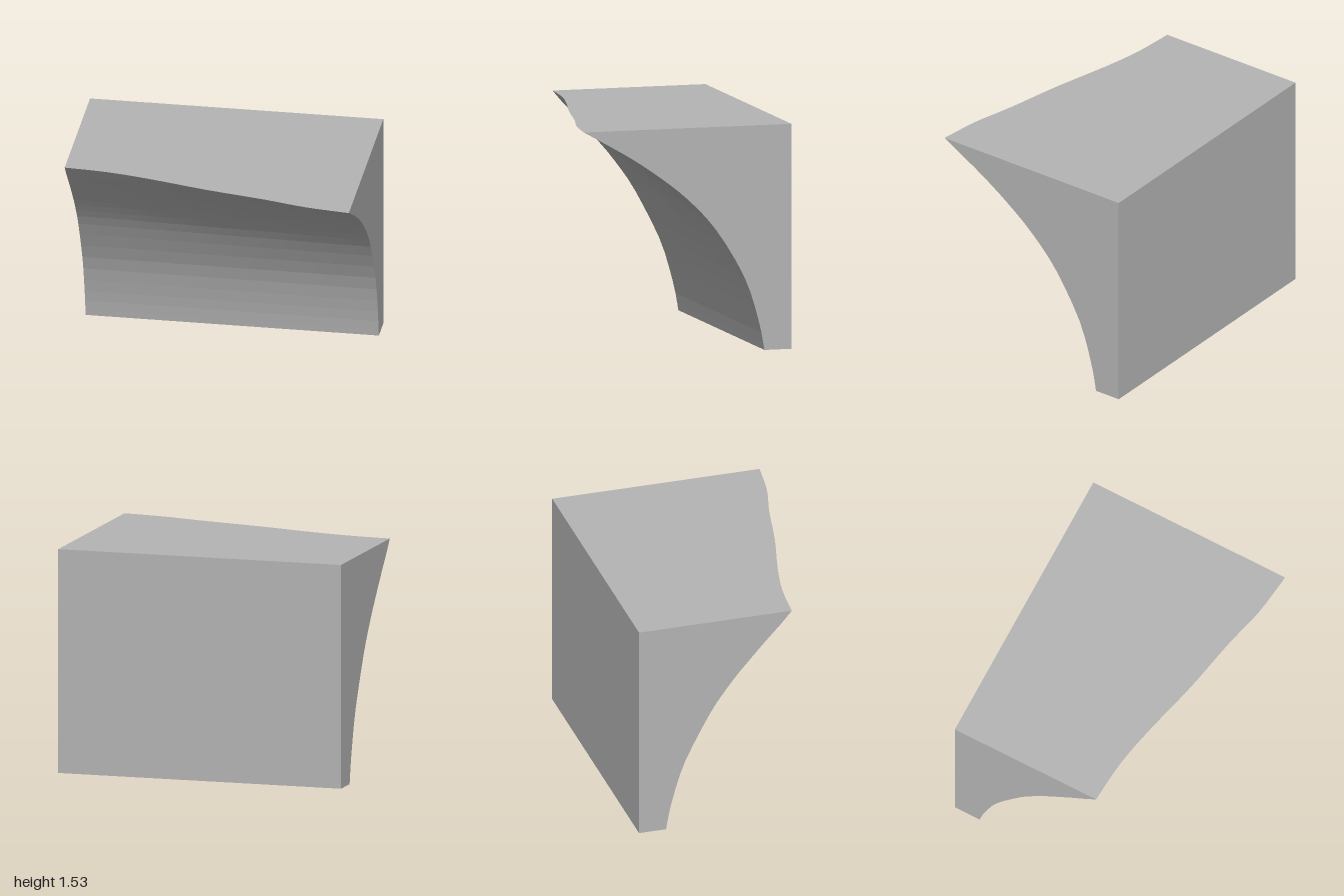
import * as THREE from 'three';

const ROWS = 24, COLS = 24, HEIGHT = 1.53, BACK = -0.73;
const spline = (pts) => new THREE.SplineCurve(pts.map(([a, b]) => new THREE.Vector2(a, b)));

// Concave front profile at the deep end, as (z, y)
const profile = spline([
  [-0.54, 0], [-0.5, 0.2], [-0.4, 0.5], [-0.2, 0.83], [0, 1.045],
  [0.2, 1.205], [0.4, 1.34], [0.6, 1.457], [0.73, HEIGHT],
]);

// How far each x position has blended from the shallow end to the deep end
const blend = spline([
  [-1, 0], [-0.7, 0.065], [-0.4, 0.22], [0, 0.485], [0.4, 0.7], [0.7, 0.895], [1, 1],
]);

export function createModel() {
  const group = new THREE.Group();
  const grey = new THREE.MeshStandardMaterial({ color: 0xb4b4b4, flatShading: true });
  grey.name = 'grey';

  // Block whose front is swept between the two end profiles
  const geometry = new THREE.BoxGeometry(1, 1, 1, COLS, ROWS, 1);
  const pos = geometry.attributes.position;
  for (let i = 0; i < pos.count; i++) {
    const row = profile.getPoint(pos.getY(i) + 0.5);
    const col = blend.getPoint(pos.getX(i) + 0.5);
    // The shallow end pulls back increasingly towards the top
    const pullBack = 0.385 * (1 - col.y) * (row.y / HEIGHT) ** 4;
    pos.setXYZ(i, col.x, row.y, pos.getZ(i) > 0 ? row.x - pullBack : BACK);
  }
  geometry.computeVertexNormals();

  const block = new THREE.Mesh(geometry, grey);
  block.name = 'curvedBlock';
  group.add(block);
  return group;
}
